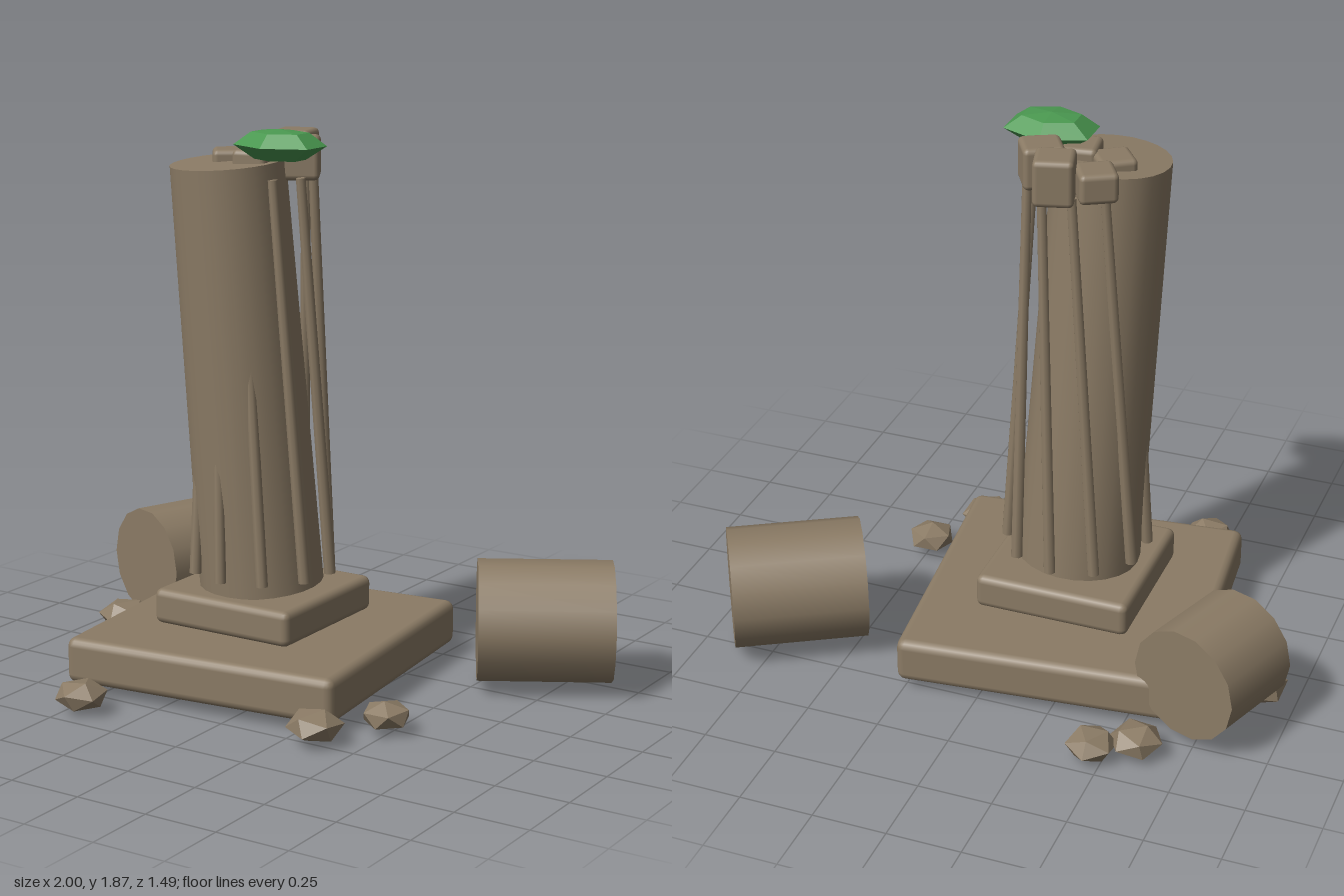
import * as THREE from 'three';
import { RoundedBoxGeometry } from 'three/addons/geometries/RoundedBoxGeometry.js';

const stone = new THREE.MeshStandardMaterial({ color: 0x8b7b65 });
stone.name = 'weathered stone';
const green = new THREE.MeshStandardMaterial({ color: 0x4a9850 });
green.name = 'green gem';

export function createModel() {
  const model = new THREE.Group();
  model.name = 'ruinedColumn';

  const add = (name, geometry, material = stone) => {
    const mesh = new THREE.Mesh(geometry, material);
    mesh.name = name;
    model.add(mesh);
    return mesh;
  };

  // Softly bevelled block, given by centre, size and yaw in degrees
  const block = (name, [x, y, z], [w, h, d], yaw, bevel) => {
    const mesh = add(name, new RoundedBoxGeometry(w, h, d, 2, bevel));
    mesh.position.set(x, y, z);
    mesh.rotation.y = THREE.MathUtils.degToRad(yaw);
  };

  // Tapered round bar between two points
  const bar = (name, from, to, rBottom, rTop, sides) => {
    const axis = to.clone().sub(from);
    const mesh = add(name, new THREE.CylinderGeometry(rTop, rBottom, axis.length(), sides));
    mesh.position.copy(from).add(to).multiplyScalar(0.5);
    mesh.quaternion.setFromUnitVectors(new THREE.Vector3(0, 1, 0), axis.normalize());
  };

  // Stepped base
  block('basePlinth', [-0.168, 0.113, -0.01], [0.985, 0.155, 0.985], 6, 0.03);
  block('upperPlinth', [-0.172, 0.26, -0.007], [0.535, 0.12, 0.535], 0, 0.025);

  // Leaning shaft
  bar('shaft', new THREE.Vector3(-0.175, 0.327, 0),
    new THREE.Vector3(-0.245, 1.754, 0.085), 0.21, 0.19, 24);

  // Ten ribs round the shaft, each leaning inward and twisting
  for (let i = 0; i < 10; i++) {
    const a = THREE.MathUtils.degToRad(-15 + i * 36);
    const lean = a + THREE.MathUtils.degToRad(140);
    const foot = new THREE.Vector3(-0.17 + 0.237 * Math.cos(a), 0.375, 0.237 * Math.sin(a));
    const head = foot.clone().add(
      new THREE.Vector3(0.105 * Math.cos(lean), 1.335, 0.105 * Math.sin(lean)));
    bar('rib', foot, head, 0.02, 0.016, 8);
  }

  // Broken capital: loose blocks on the top
  [
    [[-0.26, 1.75, -0.115], [0.125, 0.1, 0.125], 30],
    [[-0.14, 1.767, -0.16], [0.13, 0.155, 0.13], 15],
    [[-0.06, 1.765, -0.06], [0.135, 0.14, 0.13], 30],
    [[-0.27, 1.745, 0.025], [0.125, 0.09, 0.125], 35],
    [[-0.15, 1.75, 0.06], [0.12, 0.1, 0.13], 8],
  ].forEach(([p, s, yaw]) => block('capitalBlock', p, s, yaw, 0.018));

  // Six-sided cut gem
  const profile = [[0, -0.049], [0.55, -0.045], [1, 0], [0.62, 0.042], [0, 0.052]]
    .map(([r, y]) => new THREE.Vector2(r, y));
  const cut = new THREE.LatheGeometry(profile, 6).toNonIndexed();
  cut.scale(0.163, 1, 0.118);
  cut.computeVertexNormals();
  add('gem', cut, green).position.set(-0.038, 1.82, 0.09);

  // Fallen drums lying on their sides
  [
    [[0.7, 0.23, -0.39], 0.205, 0.45, 30],
    [[-0.765, 0.237, -0.36], 0.195, 0.313, 70],
  ].forEach(([p, r, length, yaw]) => {
    const geometry = new THREE.CylinderGeometry(r, r, length, 14);
    geometry.rotateZ(Math.PI / 2);
    const drum = add('fallenDrum', geometry);
    drum.position.set(...p);
    drum.rotation.y = THREE.MathUtils.degToRad(yaw);
  });

  // Flattened rubble round the base
  [
    [-0.46, -0.665, 0.088], [-0.59, -0.6, 0.09], [-0.87, -0.155, 0.098],
    [0.49, 0.285, 0.085], [0.355, 0.495, 0.095], [-0.445, 0.655, 0.09],
  ].forEach(([x, z, r], i) => {
    const rock = new THREE.IcosahedronGeometry(r, 0);
    rock.rotateX(i * 1.3 + 0.4);
    rock.rotateY(i * 2.1);
    rock.scale(1, 0.58, 1);
    rock.computeVertexNormals();
    rock.computeBoundingBox();
    add('rubble', rock).position.set(x, (i === 2 ? 0 : 0.012) - rock.boundingBox.min.y, z);
  });

  return model;
}
